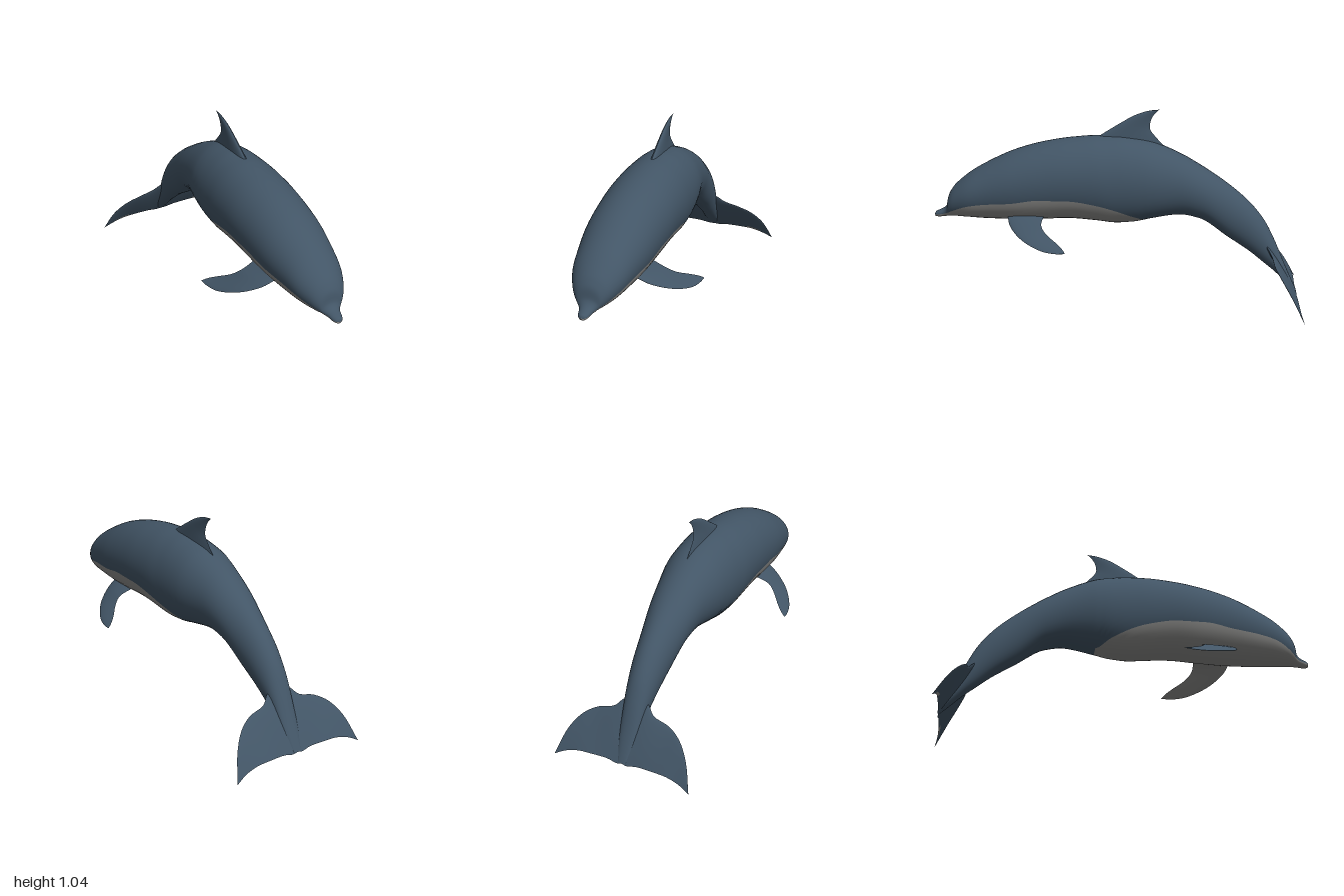
import * as THREE from 'three';

const paint = (name, color) => {
  const m = new THREE.MeshStandardMaterial({ color });
  m.name = name;
  return m;
};

// Skin over rows of points; pick(i, j) chooses the material of each quad
function skin(rows, { flip = false, closed = false, pick = () => 0 } = {}) {
  const n = rows[0].length, faces = [[], []];
  for (let i = 0; i < rows.length - 1; i++) {
    for (let j = 0; j < (closed ? n : n - 1); j++) {
      const k = (j + 1) % n;
      const a = i * n + j, b = a + n, c = i * n + k, d = c + n;
      faces[pick(i, j)].push(...(flip ? [a, c, b, b, c, d] : [a, b, c, b, d, c]));
    }
  }
  const geo = new THREE.BufferGeometry().setFromPoints(rows.flat());
  geo.setIndex(faces.flat());
  geo.addGroup(0, faces[0].length, 0);
  geo.addGroup(faces[0].length, faces[1].length, 1);
  geo.computeVertexNormals();
  return geo;
}

// Monotone smooth interpolation through a table of stations
function sample(table, u) {
  const i = Math.min(Math.floor(u), table.length - 2), t = u - i;
  return table[i].map((_, c) => {
    const d = (k) => (table[k + 1] && table[k] ? table[k + 1][c] - table[k][c] : 0);
    const slope = (k) => {
      if (k === 0) return d(0);
      if (k === table.length - 1) return d(k - 1);
      const p = d(k - 1), q = d(k);
      return p * q > 0 ? (2 * p * q) / (p + q) : 0;
    };
    const a = table[i][c], b = table[i + 1][c], t2 = t * t, t3 = t2 * t;
    return a * (2 * t3 - 3 * t2 + 1) + slope(i) * (t3 - 2 * t2 + t)
      + b * (3 * t2 - 2 * t3) + slope(i + 1) * (t3 - t2);
  });
}

// Body stations, nose to tail: z, top, bottom, half width, belly line
const BODY = [
  [1.0, 0.437, 0.433, 0.001, 0.435],
  [0.994, 0.45, 0.424, 0.017, 0.437],
  [0.975, 0.46, 0.423, 0.028, 0.44],
  [0.945, 0.475, 0.427, 0.036, 0.447],
  [0.925, 0.5, 0.43, 0.05, 0.455],
  [0.915, 0.55, 0.432, 0.065, 0.46],
  [0.89, 0.595, 0.434, 0.09, 0.475],
  [0.8, 0.675, 0.432, 0.135, 0.515],
  [0.7, 0.735, 0.428, 0.157, 0.535],
  [0.55, 0.805, 0.427, 0.181, 0.55],
  [0.4, 0.85, 0.432, 0.191, 0.573],
  [0.25, 0.877, 0.44, 0.196, 0.573],
  [0.1, 0.89, 0.43, 0.195, 0.55],
  [0, 0.89, 0.42, 0.19, 0.52],
  [-0.1, 0.88, 0.428, 0.184, 0.478],
  [-0.18, 0.865, 0.445, 0.175, 0.447],
  [-0.34, 0.8, 0.47, 0.14, 0.47],
  [-0.45, 0.738, 0.45, 0.122, 0.45],
  [-0.6, 0.638, 0.35, 0.096, 0.35],
  [-0.72, 0.535, 0.27, 0.08, 0.27],
  [-0.8, 0.435, 0.205, 0.067, 0.205],
  [-0.85, 0.34, 0.165, 0.058, 0.165],
  [-0.92, 0.18, 0.1, 0.045, 0.1],
  [-0.98, 0.05, 0.042, 0.02, 0.042],
];

function bodyGeometry() {
  const STEPS = 6, UP = 16, LOW = 8, HALF = UP + LOW, rows = [];
  for (let s = 0; s <= (BODY.length - 1) * STEPS; s++) {
    const [z, top, bot, w, line] = sample(BODY, s / STEPS);
    const mid = (top + bot) / 2, h = (top - bot) / 2;
    // the ring is divided exactly at the belly line
    const split = Math.max(-1.4, Math.asin(THREE.MathUtils.clamp((line - mid) / h, -1, 1)));
    const point = (k, side) => {
      const a = k <= UP
        ? THREE.MathUtils.lerp(Math.PI / 2, split, k / UP)
        : THREE.MathUtils.lerp(split, -Math.PI / 2, (k - UP) / LOW);
      const c = Math.max(0, Math.cos(a));
      const x = w * (a < 0 ? Math.pow(c, 0.85) : c);
      return new THREE.Vector3(side * x, mid + h * Math.sin(a), z);
    };
    const ring = [];
    for (let k = 0; k <= HALF; k++) ring.push(point(k, 1));
    for (let k = HALF - 1; k > 0; k--) ring.push(point(k, -1));
    rows.push(ring);
  }
  const bellyEnd = 15 * STEPS;
  return skin(rows, {
    flip: true, closed: true,
    pick: (i, j) => (i < bellyEnd && j >= UP && j < UP + 2 * LOW ? 1 : 0),
  });
}

const COLS = 16, SPAN = 30;

// One face of a tapering fin between a leading and a trailing edge
function finFace(lead, trail, normal, thick, side, mirror, pick) {
  const curve = (pts) => new THREE.CatmullRomCurve3(pts.map((p) => new THREE.Vector3(...p)));
  const a = curve(lead), b = curve(trail), n = new THREE.Vector3(...normal).normalize();
  const rows = [];
  for (let i = 0; i <= SPAN; i++) {
    const u = i / SPAN, p = a.getPoint(u), q = b.getPoint(u), row = [];
    for (let j = 0; j <= COLS; j++) {
      const t = Math.pow(j / COLS, 1.5);
      const bulge = 1.3 * Math.sqrt(t) * (1 - t) * thick * (1 - 0.95 * u);
      const v = p.clone().lerp(q, t).addScaledVector(n, side * bulge);
      if (mirror) v.x *= -1;
      row.push(v);
    }
    rows.push(row);
  }
  // wind the faces so that they look outwards
  const span = new THREE.Vector3(...lead[3]).sub(new THREE.Vector3(...lead[0]));
  const chord = new THREE.Vector3(...trail[0]).sub(new THREE.Vector3(...lead[0]));
  const flip = (span.cross(chord).dot(n) * side < 0) !== mirror;
  return skin(rows, { flip, pick: pick && ((i, j) => pick(rows[i][j], j)) });
}

export function createModel() {
  const blue = paint('slate blue', 0x425566);
  const grey = paint('belly grey', 0x8c8c8a);
  const model = new THREE.Group();
  model.name = 'dolphin';

  const add = (parent, name, geo, mats) => {
    const mesh = new THREE.Mesh(geo, mats);
    mesh.name = name;
    parent.add(mesh);
  };
  const addFin = (name, f, mirror, under, pick) => {
    const g = new THREE.Group();
    g.name = name;
    add(g, name + 'Upper', finFace(f.lead, f.trail, f.normal, f.thick, 1, mirror), [blue, grey]);
    add(g, name + 'Lower', finFace(f.lead, f.trail, f.normal, f.thick, -1, mirror, pick), [under, grey]);
    model.add(g);
  };

  add(model, 'body', bodyGeometry(), [blue, grey]);

  // Dorsal fin
  addFin('dorsalFin', {
    lead: [[0, 0.865, 0.13], [0, 0.91, 0.06], [0, 0.96, -0.02], [0, 1.005, -0.1], [0, 1.028, -0.17], [0, 1.035, -0.225]],
    trail: [[0, 0.81, -0.28], [0, 0.88, -0.215], [0, 0.93, -0.178], [0, 0.97, -0.18], [0, 1.01, -0.2], [0, 1.035, -0.226]],
    normal: [1, 0, 0], thick: 0.045,
  }, false, blue);

  // Flippers, grey underneath
  const flipper = {
    lead: [[0.1, 0.465, 0.58], [0.17, 0.425, 0.555], [0.26, 0.378, 0.48], [0.325, 0.342, 0.37], [0.345, 0.335, 0.29], [0.35, 0.338, 0.245]],
    trail: [[0.1, 0.475, 0.38], [0.19, 0.44, 0.385], [0.235, 0.408, 0.355], [0.285, 0.375, 0.295], [0.32, 0.355, 0.26], [0.349, 0.338, 0.24]],
    normal: [0.5, 0.87, 0], thick: 0.022,
  };

  // Tail flukes, with a pale patch under each trailing edge
  const fluke = {
    lead: [[0, 0.33, -0.79], [0.068, 0.31, -0.812], [0.11, 0.272, -0.838], [0.2, 0.245, -0.85], [0.27, 0.205, -0.88], [0.33, 0.13, -0.93], [0.378, 0, -1]],
    trail: [[0, 0.045, -0.98], [0.03, 0.041, -0.982], [0.08, 0.05, -0.978], [0.17, 0.051, -0.98], [0.25, 0.047, -0.982], [0.32, 0.028, -0.988], [0.377, 0, -1]],
    normal: [0, 0.58, -0.81], thick: 0.025,
  };
  const patch = (p, j) => (j === COLS - 1 && Math.abs(p.x) > 0.21 && Math.abs(p.x) < 0.3 ? 1 : 0);

  for (const [side, mirror] of [['left', false], ['right', true]]) {
    addFin(side + 'Flipper', flipper, mirror, grey);
    addFin(side + 'Fluke', fluke, mirror, blue, patch);
  }
  return model;
}
